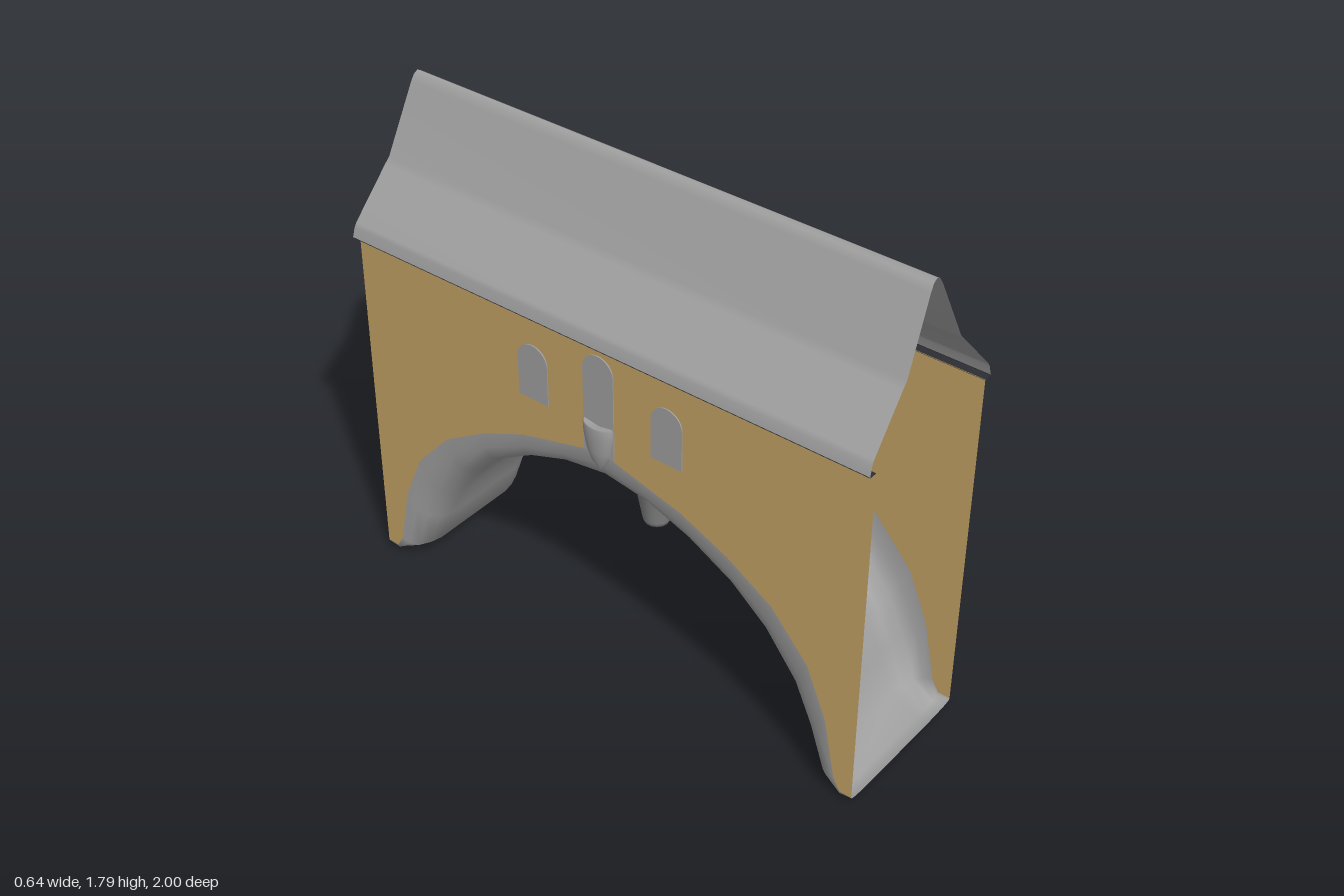
import * as THREE from 'three';

const mat = (name, color) => {
  const m = new THREE.MeshStandardMaterial({ color, side: THREE.DoubleSide });
  m.name = name;
  return m;
};

// Surface through equally long rows of [x, y, z] points
function loft(rows) {
  const n = rows[0].length, index = [];
  for (let r = 0; r < rows.length - 1; r++) {
    for (let c = 0; c < n - 1; c++) {
      const a = r * n + c, b = a + n;
      index.push(a, b, a + 1, b, b + 1, a + 1);
    }
  }
  const g = new THREE.BufferGeometry();
  g.setAttribute('position', new THREE.Float32BufferAttribute(rows.flat(2), 3));
  g.setIndex(index);
  g.computeVertexNormals();
  return g;
}

// Mirrors a half path given from the centre outwards, running from -z to +z
const mirrorPath = (half) => [...half.slice(1).reverse().map(([z, y]) => [-z, y]), ...half];

export function createModel() {
  const group = new THREE.Group();
  const stone = mat('grey stone', 0xa0a0a0);
  const plaster = mat('ochre plaster', 0xc4a264);
  const dark = mat('dark eave', 0x2c2e33);
  const metal = mat('bell metal', 0x858585);
  const add = (name, geometry, material) => {
    const mesh = new THREE.Mesh(geometry, material);
    mesh.name = name;
    group.add(mesh);
    return mesh;
  };
  const WALL = 0.283;

  // Arch underside and its stone edge, as [z, y] paths
  const inner = mirrorPath([[0, 0.765], [0.18, 0.745], [0.34, 0.68], [0.5, 0.585], [0.62, 0.47],
    [0.73, 0.32], [0.79, 0.19], [0.85, 0.05], [0.95, 0.005], [1, 0.02]]);
  const outer = mirrorPath([[0, 0.91], [0.13, 0.875], [0.32, 0.825], [0.5, 0.745], [0.67, 0.64],
    [0.81, 0.48], [0.885, 0.3], [0.93, 0.08], [0.955, 0.035], [1, 0.035]]);

  // Rounded vault: each section runs across x from wall to wall
  const edge = [[0.17, 0], [0.215, 0.1], [0.258, 0.3], [0.279, 0.62], [WALL, 1]];
  const section = [...edge.slice().reverse().map(([x, t]) => [-x, t]), ...edge];
  add('archVault', loft(inner.map(([z, y], i) => section.map(([x, t]) => [
    x,
    THREE.MathUtils.lerp(y, outer[i][1], t),
    THREE.MathUtils.lerp(z, outer[i][0], t),
  ])), ), stone);

  // Side walls cut out along the arch
  const wallShape = new THREE.Shape();
  wallShape.moveTo(-1, 1.315);
  outer.forEach(([z, y]) => wallShape.lineTo(z, y));
  wallShape.lineTo(1, 1.315);
  const wallGeometry = new THREE.ShapeGeometry(wallShape).rotateY(-Math.PI / 2);

  // Round-headed window plate, showing on both faces of the wall
  const windowPlate = (z, bottom, top, width) => {
    const r = width / 2;
    const s = new THREE.Shape();
    s.moveTo(z - r, bottom);
    s.lineTo(z + r, bottom);
    s.lineTo(z + r, top - r);
    s.absarc(z, top - r, r, 0, Math.PI, false);
    s.closePath();
    return new THREE.ExtrudeGeometry(s, { depth: 0.008, bevelEnabled: false, curveSegments: 10 })
      .translate(0, 0, -0.004).rotateY(-Math.PI / 2);
  };

  // Half-round corbel below the middle window
  const corbelProfile = [[0.002, 0.84], [0.03, 0.875], [0.048, 0.92], [0.058, 0.98], [0.06, 1.015], [0.055, 1.02], [0, 1.01]]
    .map(([r, y]) => new THREE.Vector2(r, y));

  for (const side of [1, -1]) {
    const label = side > 0 ? 'left' : 'right';
    add(label + 'Wall', wallGeometry, plaster).position.x = side * WALL;
    for (const [name, z, bottom, top] of [['FrontWindow', 0.265, 0.99, 1.195], ['MiddleWindow', 0, 0.9, 1.27], ['BackWindow', -0.265, 0.99, 1.195]]) {
      add(label + name, windowPlate(z, bottom, top, 0.12), stone).position.x = side * WALL;
    }
    const corbel = add(label + 'Corbel', new THREE.LatheGeometry(corbelProfile, 12, side > 0 ? 0 : Math.PI, Math.PI), stone);
    corbel.position.x = side * WALL;
    corbel.scale.x = 0.58;

    // Dark underside of the eave
    const strip = new THREE.PlaneGeometry(0.032, 2).rotateX(-Math.PI / 2);
    add(label + 'EaveUnderside', strip, dark).position.set(side * 0.297, 1.313, 0);
  }

  // Steep roof with flared eaves, its ends leaning in towards the ridge
  const halfRoof = [[0, 1.797], [0.016, 1.788], [0.03, 1.765], [0.138, 1.54], [0.16, 1.517], [0.295, 1.365], [0.304, 1.35], [0.313, 1.316]];
  const roof = mirrorPath(halfRoof);
  add('roof', loft(roof.map(([x, y]) => {
    const end = THREE.MathUtils.mapLinear(y, 1.316, 1.797, 1, 0.972);
    return [[x, y, -end], [x, y, end]];
  })), stone);

  // Hanging bell and its hook
  const bellProfile = [[0, 0.46], [0.043, 0.46], [0.048, 0.475], [0.07, 0.6], [0.084, 0.61], [0.082, 0.625], [0.025, 0.685], [0.012, 0.705], [0, 0.71]]
    .map(([r, y]) => new THREE.Vector2(r, y));
  add('bell', new THREE.LatheGeometry(bellProfile, 14), metal);
  const hook = new THREE.TorusGeometry(0.045, 0.007, 6, 14, Math.PI).rotateZ(Math.PI).rotateY(Math.PI / 2);
  add('bellHook', hook, metal).position.y = 0.752;

  return group;
}
